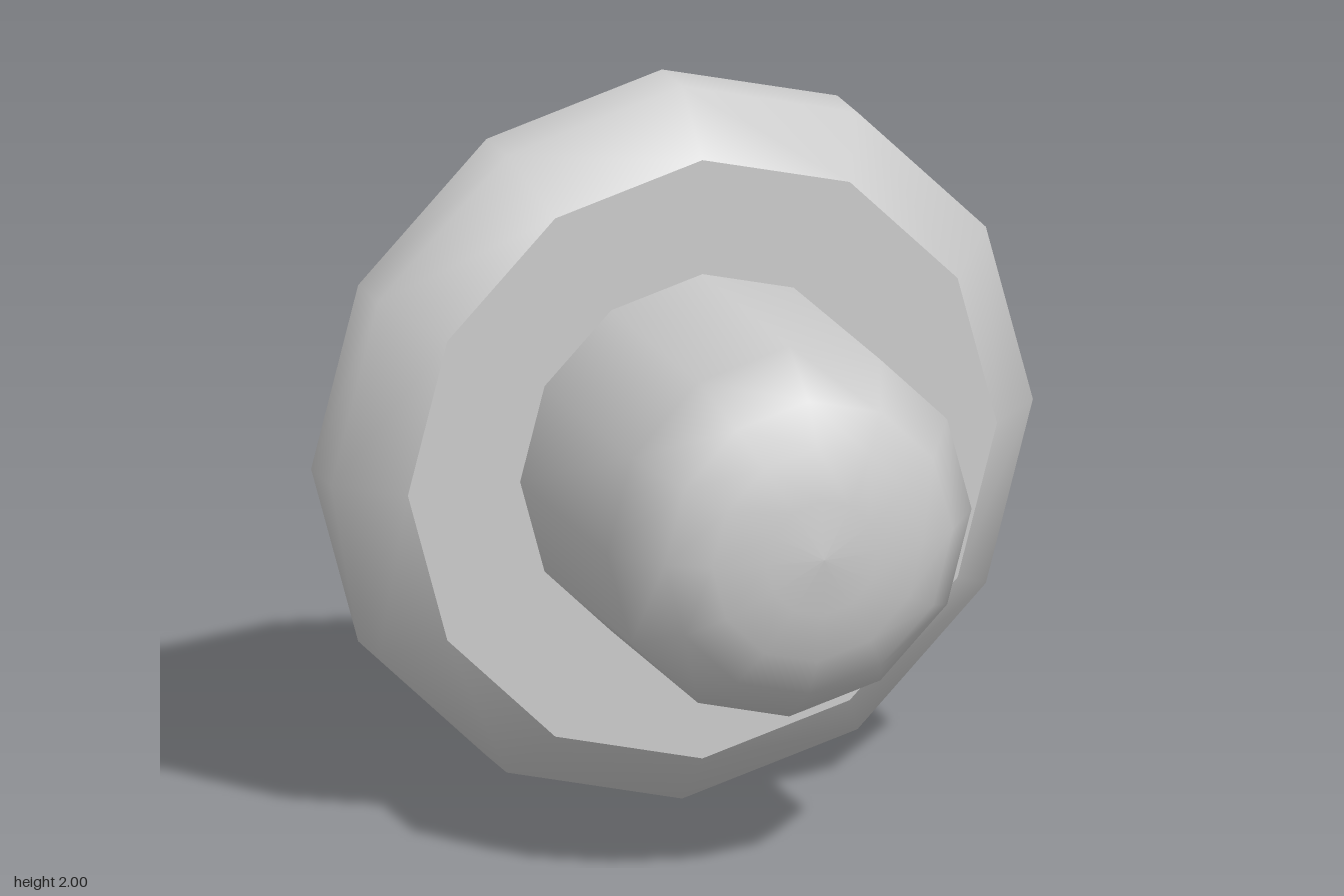
import * as THREE from 'three';

const SIDES = 12;

// Smooth lathe around the z axis from [radius, z] pairs, running back to front
function turned(profile) {
  const points = profile.map(([r, z]) => new THREE.Vector2(r, z));
  return new THREE.LatheGeometry(points, SIDES).rotateX(Math.PI / 2);
}

export function createModel() {
  const group = new THREE.Group();
  group.name = 'knob';
  const material = new THREE.MeshStandardMaterial({ color: 0xcccccc, side: THREE.DoubleSide });

  const add = (name, geometry) => {
    const mesh = new THREE.Mesh(geometry, material);
    mesh.name = name;
    mesh.position.y = 1;
    group.add(mesh);
  };

  // Thin bevelled flange wall, open at the back
  add('flangeRim', turned([[1, -0.6], [1, -0.45], [0.84, -0.3]]));

  // Flat flange face, also the floor of the hollow back
  add('flangeFace', new THREE.CircleGeometry(0.84, SIDES).translate(0, 0, -0.3));

  // Round stem with a shallow domed end
  add('domedStem', turned([
    [0.52, -0.3], [0.52, 0.34], [0.41, 0.485], [0.3, 0.55], [0.16, 0.585], [0, 0.6],
  ]));

  return group;
}
